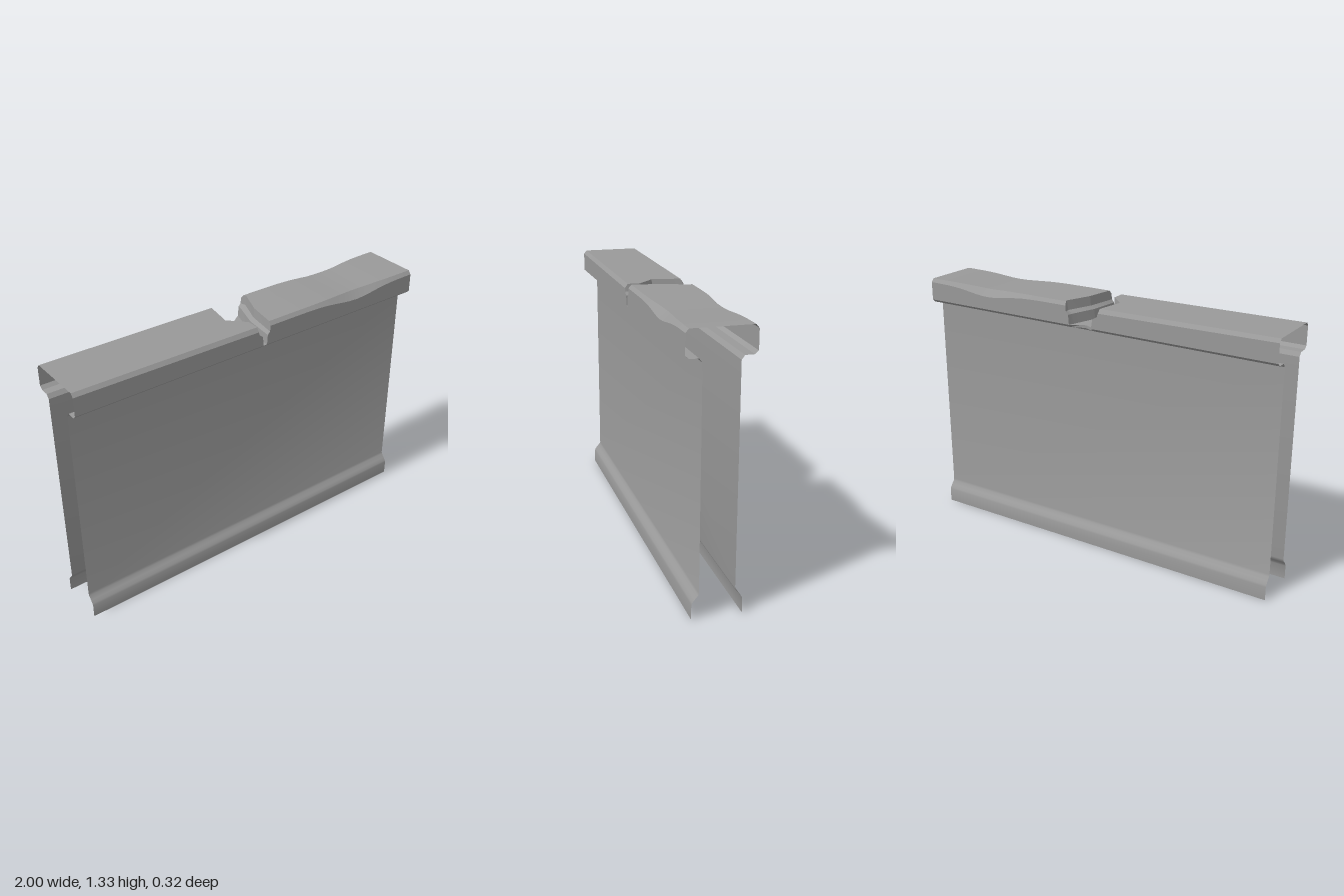
import * as THREE from 'three';
import { toCreasedNormals } from 'three/addons/utils/BufferGeometryUtils.js';

const concrete = new THREE.MeshStandardMaterial({ color: 0x999999, side: THREE.DoubleSide });
concrete.name = 'concrete grey';

// Skin a grid of points: rows of equal length, each point [x, y, z].
function loft(name, rows, crease = 0.5) {
  const n = rows[0].length, index = [];
  for (let i = 0; i < rows.length - 1; i++) {
    for (let j = 0; j < n - 1; j++) {
      const a = i * n + j, b = a + n;
      index.push(a, b, b + 1, a, b + 1, a + 1);
    }
  }
  const g = new THREE.BufferGeometry();
  g.setAttribute('position', new THREE.Float32BufferAttribute(rows.flat(2), 3));
  g.setIndex(index);
  const mesh = new THREE.Mesh(toCreasedNormals(g, crease), concrete);
  mesh.name = name;
  return mesh;
}

// Straight-line interpolation through [key, value] pairs.
function sample(pairs, k) {
  if (k <= pairs[0][0]) return pairs[0][1];
  for (let i = 1; i < pairs.length; i++) {
    const [k0, v0] = pairs[i - 1], [k1, v1] = pairs[i];
    if (k <= k1) return v0 + (v1 - v0) * (k - k0) / (k1 - k0);
  }
  return pairs[pairs.length - 1][1];
}

const BASE = 1.22, TOP = 1.333, SHOULDER = 1.315, EDGE = 0.16, RIM = 0.145;
const LEDGES = [BASE, 1.27, 1.285];

// Broken edge of each cap half: x against z, at the top and at the floor.
const breaks = {
  right: {
    end: -1,
    top: [[-0.16, -0.06], [0, -0.085], [0.08, -0.005], [0.16, -0.005]],
    floor: [[-0.16, -0.02], [0, -0.05], [0.08, 0.015], [0.16, 0.025]],
  },
  left: {
    end: 1,
    top: [[-0.16, 0.13], [-0.13, 0.14], [0, 0.09], [0.16, 0.065]],
    floor: [[-0.16, 0.11], [0, 0.06], [0.16, 0.045]],
  },
};

// The break is steep up to a small ledge, then steep again.
function breakX(side, y, z) {
  const lo = sample(breaks[side].floor, z), hi = sample(breaks[side].top, z);
  return lo + (hi - lo) * sample([[BASE, 0], [1.27, 0.2], [1.285, 0.85], [1.31, 1]], y);
}

// Sagging and dented upper surface.
function weather(side, x, y, z) {
  if (y < 1.3) return [x, y, z];
  const shoulder = y < 1.32;
  if (side === 'right') return [x, y - (shoulder ? 0.013 : 0.01) * (x + 1), z];
  const bell = Math.exp(-(((x - 0.62) / 0.16) ** 2));
  const drop = shoulder ? 0.028 : 0.009;
  return [x, y - drop * bell, Math.abs(z) > 0.14 && !shoulder ? z - Math.sign(z) * 0.02 * bell : z];
}

const topZ = [RIM, 0.08, 0, -0.08, -0.13, -RIM];
const capProfile = [
  ...LEDGES.map(y => [y, EDGE]), [SHOULDER, EDGE],
  ...topZ.map(z => [TOP, z]),
  [SHOULDER, -EDGE], ...[...LEDGES].reverse().map(y => [y, -EDGE]),
];

function capHalf(side) {
  const group = new THREE.Group();
  group.name = side + 'Cap';
  const { end } = breaks[side], rows = [], steps = 20;
  for (let i = 0; i <= steps; i++) {
    const t = end < 0 ? i / steps : 1 - i / steps;
    rows.push(capProfile.map(([y, z]) => weather(side, end + (breakX(side, y, z) - end) * t, y, z)));
  }
  group.add(loft(side + 'CapShell', rows));

  // Stepped fracture face closing the half at the crack
  const zs = [-EDGE, ...[...topZ].reverse(), EDGE];
  if (end > 0) zs.reverse();
  const face = [...LEDGES, TOP].map(level => zs.map(z => {
    const y = level === TOP && Math.abs(z) === EDGE ? SHOULDER : level;
    return weather(side, breakX(side, y, z), y, z);
  }));
  group.add(loft(side + 'Fracture', face, 0.2));
  return group;
}

// Rear edge is chipped inward at the crack.
const chip = x => sample([[-0.03, 0.16], [0, 0.135], [0.03, 0.12], [0.06, 0.125], [0.11, 0.16]], x);
const chipX = [-1, -0.03, 0, 0.03, 0.06, 0.11, 1];

// Lip under the cap, then wall, then flared foot: [y, z] from bottom to top
const wallProfile = [[0, 0.12], [0.072, 0.12], [0.082, 0.116], [0.098, 0.104],
  [0.115, 0.089], [0.127, 0.085], [1.185, 0.085]];
const lipProfile = [[1.185, 0.085], [1.205, 0.1], [1.205, 0.143], [BASE, EDGE]];

export function createModel() {
  const model = new THREE.Group();
  model.name = 'brokenWall';

  for (const [label, sign] of [['front', 1], ['back', -1]]) {
    const order = p => (sign > 0 ? p : [...p].reverse());
    model.add(loft(label + 'Wall', [-1, 1].map(x =>
      order(wallProfile).map(([y, z]) => [x, y, sign * z])), 0.7));
    model.add(loft(label + 'Lip', chipX.map(x => order(lipProfile).map(([y, z]) =>
      [x, y, sign > 0 ? z : -Math.min(z, chip(x))]))));
  }

  model.add(capHalf('right'), capHalf('left'));

  // Floor of the crack, fitted between the two fracture faces
  const floorRows = [];
  for (let i = 0; i <= 8; i++) {
    floorRows.push([EDGE, 0.08, 0, -0.08, -EDGE].map(z => {
      const a = breakX('right', BASE, z), b = breakX('left', BASE, z);
      const x = a + (b - a) * i / 8;
      return [x, BASE, Math.max(z, -chip(x))];
    }));
  }
  model.add(loft('crackFloor', floorRows));
  return model;
}
